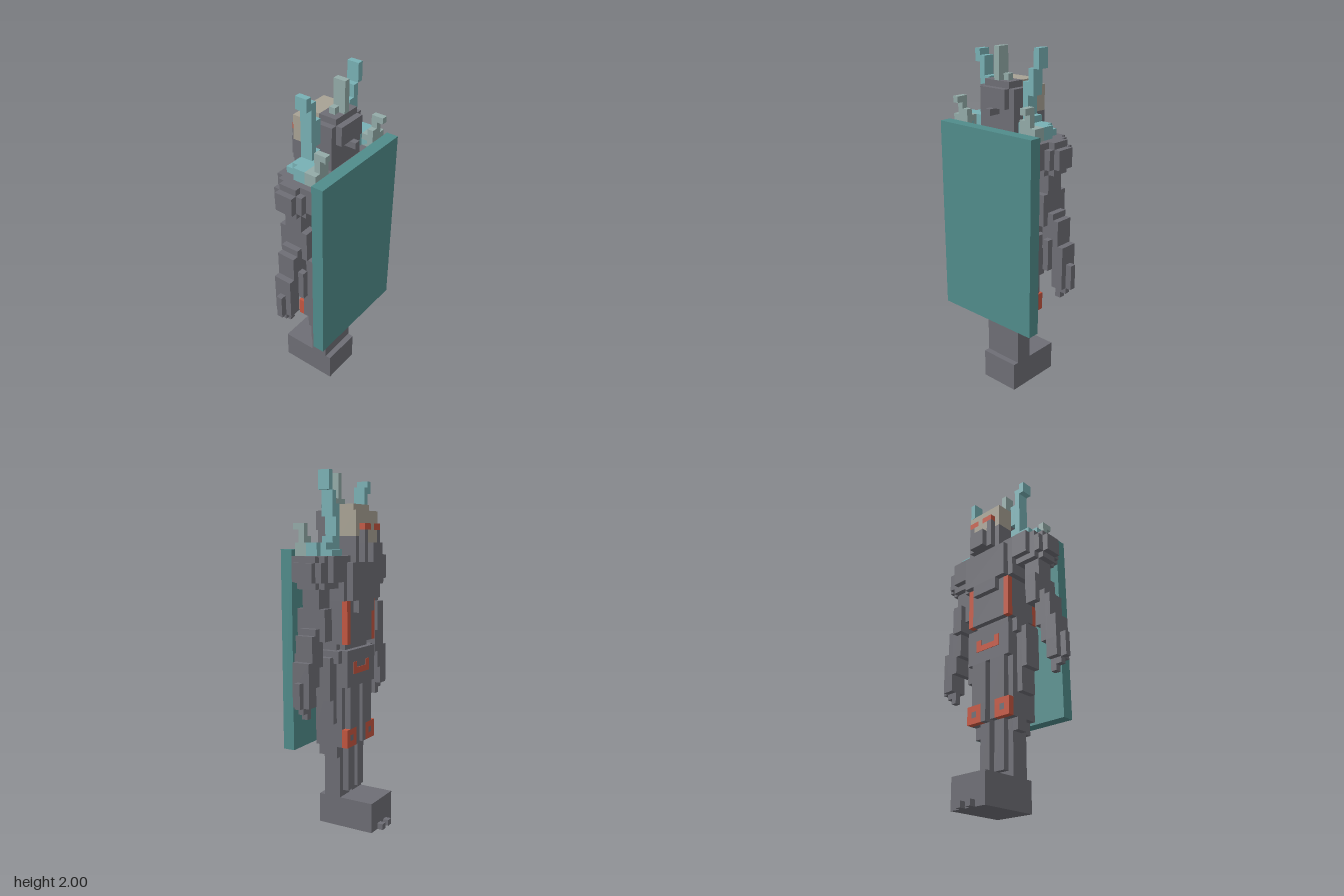
import * as THREE from 'three';

// Everything is laid out on a cubic grid; V is the size of one cell.
const V = 2 / 58;

const material = (name, color) => {
  const m = new THREE.MeshStandardMaterial({ color });
  m.name = name;
  return m;
};

export function createModel() {
  const root = new THREE.Group();
  root.name = 'armouredFigure';
  const dark = material('darkArmour', 0x6e6e75);
  const shieldTeal = material('shieldTeal', 0x508c8b);
  const teal = material('paleTeal', 0x78b0b4);
  const grey = material('greyTeal', 0x93aba8);
  const bone = material('bone', 0xa8a294);
  const red = material('red', 0xc45640);

  // Each block is [x0, x1, y0, y1, z0, z1] in cells; sides mirrors it across x.
  function part(name, mat, blocks, sides = [1]) {
    const group = new THREE.Group();
    group.name = name;
    for (const s of sides) {
      for (const [x0, x1, y0, y1, z0, z1] of blocks) {
        const mesh = new THREE.Mesh(new THREE.BoxGeometry((x1 - x0) * V, (y1 - y0) * V, (z1 - z0) * V), mat);
        mesh.position.set(s * (x0 + x1) / 2 * V, (y0 + y1) / 2 * V, (z0 + z1) / 2 * V);
        mesh.name = name + 'Block';
        group.add(mesh);
      }
    }
    root.add(group);
  }
  const both = [1, -1];

  // Plinth and toes
  part('base', dark, [[-3.5, 3.5, 0, 5, -6, 4]]);
  part('toe', dark, [[0.5, 1.5, 0, 1, -7, -6]], both);

  // Shield
  part('shield', shieldTeal, [[-9.5, 9.5, 14, 46, 5, 7]]);

  // Legs: a closed rear with a narrow slot on the other side
  part('legRear', dark, [[-0.5, 0.5, 5, 24, 1, 3]]);
  part('lowerLeg', dark, [
    [0.5, 3.5, 5, 14, 0, 3],
    [0.5, 2.5, 6, 14, -1, 0],
    [3.5, 4.5, 12, 14, 0, 2],
    [0.5, 3.5, 12, 14, 3, 4],
  ], both);
  part('thigh', dark, [
    [0.5, 4.5, 14, 24, -1, 4],
    [0.5, 3.5, 17, 24, -2, -1],
    [4.5, 5.5, 18, 28, 0, 3],
    [0.5, 1.5, 14, 17, -2, -1],
    [2.5, 3.5, 15, 16, -2, -1],
  ], both);
  part('kneeMark', red, [
    [1.5, 3.5, 16, 17, -2, -1],
    [1.5, 2.5, 14, 16, -2, -1],
    [2.5, 3.5, 14, 15, -2, -1],
    [3.5, 4.5, 14, 17, -2, -1],
  ], both);

  // Hips, belt lumps and curved mark
  part('hips', dark, [
    [-4.5, 4.5, 24, 30, -2, 4],
    [-3.5, 3.5, 24, 29, 4, 5],
    [-3.5, 3.5, 30, 31, -1, 4],
  ]);
  part('hipGuard', dark, [
    [4.5, 5.5, 28, 30, -1, 4],
    [5.5, 6.5, 22, 29, 0, 3],
    [3.5, 4.5, 30, 31, 0, 3],
  ], both);
  part('hipMark', red, [
    [-1.5, 1.5, 26, 27, -2.1, -2],
    [1.5, 2.5, 26, 28, -2.1, -2],
    [-2.5, -1.5, 26, 28, -2.1, -2],
  ]);

  // Torso with coloured edges
  part('waist', dark, [
    [-4.5, 4.5, 31, 38, -1, 4],
    [-3.5, 3.5, 31, 38, -2, -1],
    [-3.5, 3.5, 31, 38, 4, 5],
  ]);
  part('waistStripe', red, [
    [3.5, 4.5, 31, 38, -2, -1],
    [3.5, 4.5, 31, 35, 4, 5],
  ], both);
  part('chest', dark, [
    [-5.5, 5.5, 38, 45, -2, 5],
    [-4.5, 4.5, 38, 44, -3, -2],
    [-2.5, 2.5, 36, 38, -3, -2],
    [-3.5, 3.5, 44, 46, -3, 4],
  ]);

  // Shoulders and arms
  part('shoulder', dark, [
    [5.5, 9.5, 40, 45, -1, 4],
    [5.5, 8.5, 41, 45, -2, -1],
    [5.5, 9.5, 41, 45, 4, 5],
    [9.5, 10.5, 40, 45, 0, 3],
    [9.5, 10.5, 41, 44, -1, 4],
    [10.5, 11.5, 41, 44, 0, 3],
  ], both);
  part('upperArm', dark, [
    [6.5, 9.5, 34, 40, 0, 3],
    [7.5, 9.5, 32, 37, -1, 4],
  ], both);
  part('forearm', dark, [
    [8.5, 10.5, 28, 34, 0, 3],
    [10.5, 11.5, 25, 33, 0, 3],
    [9.5, 10.5, 25, 28, 0, 3],
    [11.5, 12.5, 24, 29, 0, 3],
    [9.5, 10.5, 25, 30, 3, 4],
  ], both);
  part('hand', dark, [
    [12.5, 13.5, 22, 26, 1, 2],
    [10.5, 12.5, 22, 25, 0, 3],
    [10.5, 12.5, 21, 22, 1, 2],
    [10.5, 11.5, 20, 21, 1, 2],
  ], both);

  // Head
  part('head', dark, [
    [-3.5, 3.5, 45, 52, 0, 4],
    [-2.5, 2.5, 52, 53, 1, 4],
    [-2.5, 2.5, 49, 52, 4, 5],
    [-0.5, 0.5, 48, 49, 4, 6],
    [-3.5, 3.5, 45, 48, -3, 0],
  ]);
  part('mask', dark, [
    [-2.5, 2.5, 44, 47, -4, -3],
    [-1.5, 1.5, 44, 47, -5, -4],
    [-2.5, -1.5, 47, 49, -4, -3],
    [1.5, 2.5, 47, 49, -4, -3],
  ]);
  part('skull', bone, [
    [-3.5, 3.5, 48, 52, -3, 0],
    [-2.5, 2.5, 52, 53, -2, 1],
    [-1.5, 1.5, 47, 49, -4, -3],
    [-0.5, 0.5, 49, 50, -4, -3],
  ]);
  part('eye', red, [[0.5, 2.5, 49, 50, -4, -3]], both);

  // Crest
  part('crest', grey, [
    [-0.5, 0.5, 53, 58, 2, 4],
    [-1.5, -0.5, 53, 54, 2, 3],
    [0.5, 1.5, 53, 54, 2, 3],
  ]);

  // Crystal growths on the shoulders
  part('shoulderCrystal', teal, [
    [4.5, 7.5, 43, 46, -1.1, 0],
    [3.5, 7.5, 45, 47, 0, 3],
    [7.5, 8.5, 45, 47, 1, 3],
    [5.5, 7.5, 45, 46, 3, 4],
    [3.5, 5.5, 47, 48, 0, 2],
  ], both);
  part('shoulderSpike', grey, [
    [5.5, 8.5, 45, 47, 3, 5],
    [6.5, 7.5, 47, 50, 4, 5],
    [5.5, 6.5, 47, 48, 4, 5],
    [6.5, 7.5, 49, 50, 5, 6],
  ], both);

  // Uneven horns
  part('leftHorn', teal, [
    [3.5, 4.5, 47, 53, 0, 2],
    [4.5, 5.5, 51, 55, 0, 2],
    [5.5, 6.5, 55, 58, 0, 2],
  ]);
  part('rightHorn', teal, [
    [-5.5, -4.5, 47, 54, 0, 2],
    [-4.5, -3.5, 49, 53, 0, 2],
    [-5.5, -4.5, 54, 56, 0, 2],
    [-6.5, -5.5, 55, 57, 0, 2],
  ]);

  return root;
}
